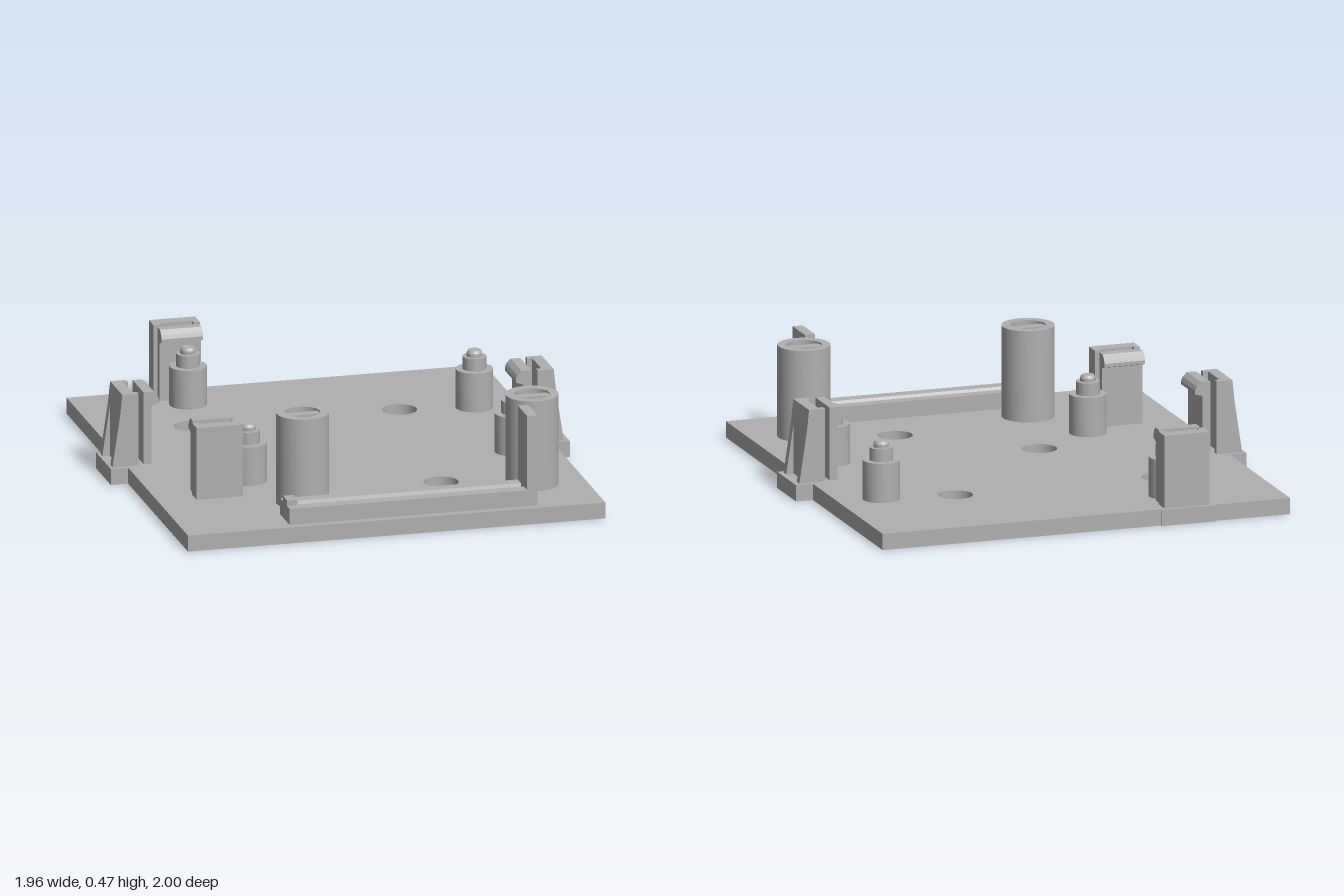
import * as THREE from 'three';
import { toCreasedNormals } from 'three/addons/utils/BufferGeometryUtils.js';

const grey = new THREE.MeshStandardMaterial({ color: 0xb0b0b0 });
grey.name = 'grey plastic';
const T = 0.07; // plate thickness
const H = 0.385; // clip height

function add(parent, name, geo, x = 0, y = 0, z = 0) {
  const mesh = new THREE.Mesh(geo, grey);
  mesh.name = name;
  mesh.position.set(x, y, z);
  parent.add(mesh);
  return mesh;
}

function box(parent, name, x0, x1, y0, y1, z0, z1) {
  return add(parent, name, new THREE.BoxGeometry(x1 - x0, y1 - y0, z1 - z0),
    (x0 + x1) / 2, (y0 + y1) / 2, (z0 + z1) / 2);
}

const outline = (pts) => new THREE.Shape(pts.map(([x, y]) => new THREE.Vector2(x, y)));

// side profile swept over a width, centred on z = 0
function sweep(pts, width) {
  const geo = new THREE.ExtrudeGeometry(outline(pts), { depth: width, bevelEnabled: false });
  return geo.translate(0, 0, -width / 2);
}

function turned(pts) {
  const geo = new THREE.LatheGeometry(pts.map(([r, y]) => new THREE.Vector2(r, y)), 40);
  return toCreasedNormals(geo, 0.5);
}

// plate with side tabs and four round holes
function basePlate(parent) {
  const pts = [
    [-0.905, 1], [0.905, 1], [0.905, 0.135], [0.98, 0.135], [0.98, -0.105], [0.905, -0.105],
    [0.905, -0.99], [-0.33, -0.99], [-0.33, -1], [-0.57, -1], [-0.57, -0.99], [-0.905, -0.99],
    [-0.905, -0.22], [-0.98, -0.22], [-0.98, 0.02], [-0.905, 0.02],
  ];
  const shape = outline(pts.map(([x, z]) => [x, -z]));
  for (const [x, z] of [[-0.5, -0.475], [0.402, -0.475], [-0.185, 0.135], [0.312, 0.545]]) {
    const hole = new THREE.Path();
    hole.absarc(x, -z, 0.074, 0, Math.PI * 2, true);
    shape.holes.push(hole);
  }
  const geo = new THREE.ExtrudeGeometry(shape, { depth: T, bevelEnabled: false, curveSegments: 24 });
  add(parent, 'basePlate', toCreasedNormals(geo.rotateX(-Math.PI / 2), 0.5));
}

// snap clip: local +x points outward, the hook reaches toward -x
function clip(parent, name, x, z, turn, braced) {
  const g = new THREE.Group();
  g.name = name;
  g.position.set(x, 0, z);
  g.rotation.y = turn;
  const back = braced
    ? [[0.022, T], [0.08, T], [0.08, 0.29], [0.07, H], [0.022, H]]
    : [[0.022, T], [0.078, T], [0.078, H], [0.022, H]];
  add(g, 'backWall', sweep(back, 0.2));
  const hook = [
    [-0.06, T], [-0.025, T], [-0.025, H], [-0.066, H], [-0.085, 0.367],
    [-0.092, 0.35], [-0.092, 0.335], [-0.06, 0.325],
  ];
  add(g, 'latch', sweep(hook, 0.18));
  for (const s of [-1, 1]) {
    const jamb = sweep([[0, T], [0.022, T], [0.022, H], [0, H]], 0.028);
    add(g, 'jamb', jamb, 0, 0, s * 0.086);
    if (braced) {
      add(g, 'gusset', sweep([[0.08, T], [0.113, T], [0.08, 0.29]], 0.034), 0, 0, s * 0.083);
    }
  }
  parent.add(g);
}

export function createModel() {
  const model = new THREE.Group();
  model.name = 'mountingPlate';
  basePlate(model);

  // small stepped standoffs
  const standoff = turned([
    [0.079, T], [0.079, 0.24], [0.05, 0.24], [0.05, 0.295],
    [0.033, 0.295], [0.033, 0.31], [0.026, 0.322], [0, 0.322],
  ]);
  for (const [x, z] of [[-0.435, -0.775], [0.715, -0.43], [0.715, 0.205], [-0.465, 0.32]]) {
    add(model, 'standoff', standoff, x, 0, z);
  }

  // tall posts with a bar across the recessed top
  const post = turned([[0.112, T], [0.112, 0.465], [0.074, 0.465], [0.074, 0.41], [0, 0.41]]);
  for (const x of [-0.32, 0.675]) {
    add(model, 'tallPost', post, x, 0, 0.665);
    box(model, 'postBar', x - 0.073, x + 0.073, 0.41, 0.458, 0.643, 0.687);
  }

  // grooved rail with end stops
  const rail = sweep([
    [0.81, T], [0.965, T], [0.965, 0.14], [0.91, 0.14],
    [0.887, 0.1], [0.874, 0.1], [0.86, 0.14], [0.81, 0.14],
  ], 1.03);
  const railMesh = add(model, 'rail', rail, 0.06, 0, 0);
  railMesh.rotation.y = -Math.PI / 2;
  box(model, 'railEndWall', 0.575, 0.62, T, 0.465, 0.81, 0.965);
  box(model, 'railStop', -0.455, -0.41, T, 0.165, 0.855, 0.925);

  // snap clips around the edges
  clip(model, 'leftClip', 0.845, 0.015, 0, true);
  clip(model, 'rightClip', -0.855, -0.1, Math.PI, true);
  clip(model, 'backClip', -0.45, -0.904, Math.PI / 2, false);
  clip(model, 'frontClip', -0.642, 0.449, -Math.PI / 2, false);
  return model;
}
